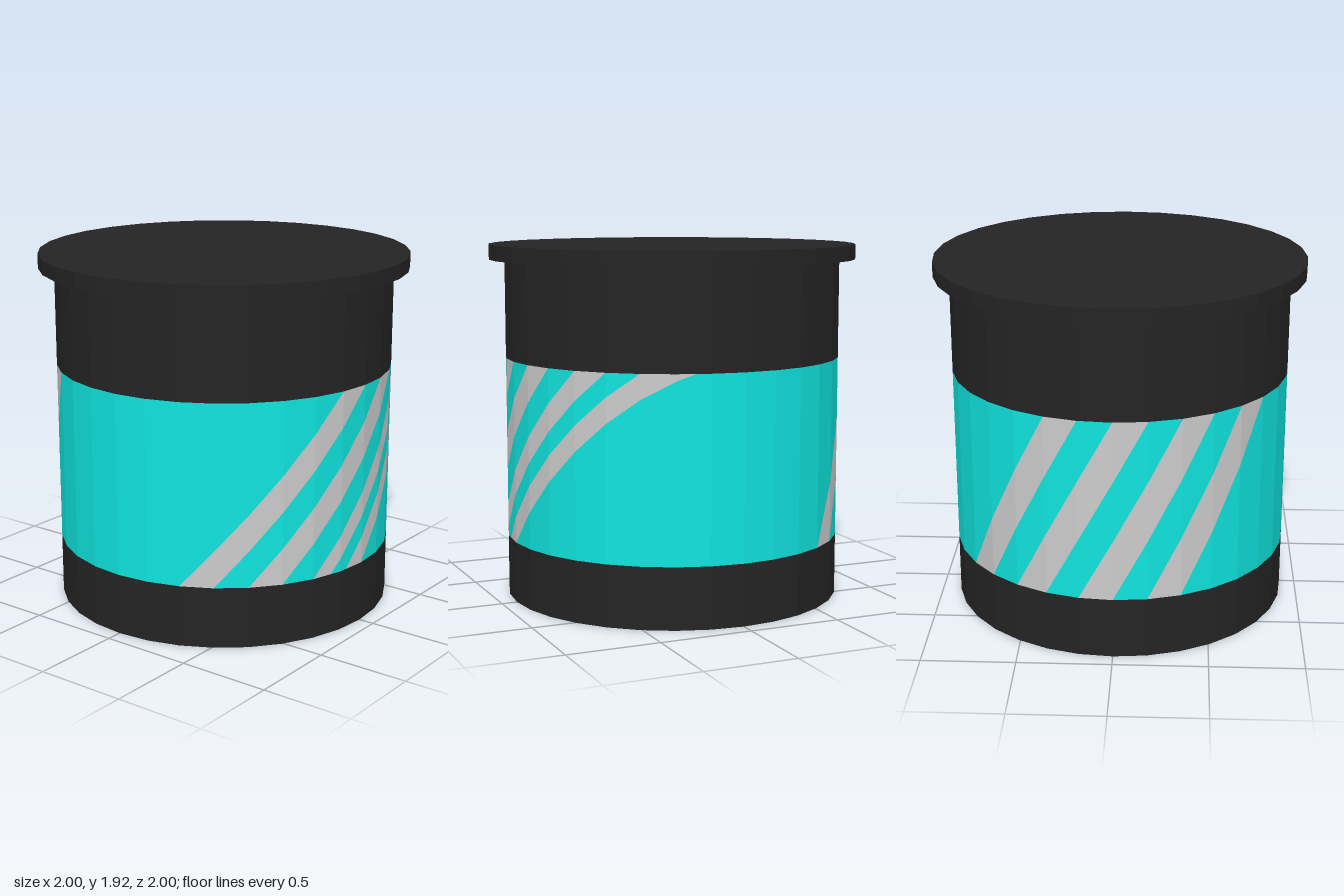
import * as THREE from 'three';

const SIDES = 32, STEP = 360 / SIDES, R = 0.915;
const LOW = 0.33, HIGH = 1.31, TOP = 1.84, LID_TOP = 1.92;
const rad = THREE.MathUtils.degToRad;

// Stripe edges, rightmost first: [angle at bottom, angle at top, straight in x]
const FRONT_EDGES = [
  [0, 74, true], [-8.2, 56.25, true],
  [-15.2, 45, true], [-22.5, 33.75, true],
  [-33.75, 22.5], [-45, 11.25],
  [-56.25, 0], [-67.5, -11.25],
];
const BACK_EDGES = [];
for (let k = 3; k >= 0; k--) {
  const a = 123.75 + 22.5 * k;
  BACK_EDGES.push([a + STEP, a + 4 * STEP], [a, a + 3 * STEP]);
}

// Point on the faceted wall at an angle measured from the front
function wallPoint(angle, y) {
  const mid = (Math.floor(angle / STEP) + 0.5) * STEP;
  const r = R * Math.cos(rad(STEP / 2)) / Math.cos(rad(angle - mid));
  return [r * Math.sin(rad(angle)), y, r * Math.cos(rad(angle))];
}

// Height of a stripe edge at an angle, held within the band
function edgeHeight([a, b, straight], angle) {
  const f = straight ? (v) => Math.sin(rad(v)) : (v) => v;
  const t = (f(angle) - f(a)) / (f(b) - f(a));
  return LOW + (HIGH - LOW) * THREE.MathUtils.clamp(t, 0, 1);
}

// Splits half of the band into label and stripe quads, column by column
function splitBand(from, edges, label, stripes) {
  const cuts = edges.flatMap(([a, b]) => [a, b]);
  for (let i = 0; i <= SIDES / 2; i++) cuts.push(from + i * STEP);
  cuts.sort((a, b) => a - b);
  const heights = (angle) => [LOW, ...edges.map((e) => edgeHeight(e, angle)), HIGH];
  for (let c = 0; c < cuts.length - 1; c++) {
    const [a, b] = [cuts[c], cuts[c + 1]];
    if (b - a < 1e-6) continue;
    const ya = heights(a), yb = heights(b);
    for (let k = 0; k < ya.length - 1; k++) {
      const out = k % 2 ? stripes : label;
      const p = wallPoint(a, ya[k]), q = wallPoint(b, yb[k]);
      const s = wallPoint(b, yb[k + 1]), t = wallPoint(a, ya[k + 1]);
      if (yb[k + 1] - yb[k] > 1e-6) out.push(...p, ...q, ...s);
      if (ya[k + 1] - ya[k] > 1e-6) out.push(...p, ...s, ...t);
    }
  }
}

export function createModel() {
  const group = new THREE.Group();
  const material = (color) => new THREE.MeshStandardMaterial({ color, flatShading: true });
  const black = material(0x242424), teal = material(0x10e4de), grey = material(0xcccccc);

  const add = (name, geometry, mat) => {
    const mesh = new THREE.Mesh(geometry, mat);
    mesh.name = name;
    group.add(mesh);
    return mesh;
  };
  const drum = (name, radius, y0, y1) => {
    add(name, new THREE.CylinderGeometry(radius, radius, y1 - y0, SIDES), black)
      .position.y = (y0 + y1) / 2;
  };

  // Dark body sections and the wider lid
  drum('base', R, 0, LOW);
  drum('upperBody', R, HIGH, TOP);
  drum('lid', 1, TOP, LID_TOP);

  // Coloured label with slanted stripes flush in the same wall
  const label = [], stripes = [];
  splitBand(-90, FRONT_EDGES, label, stripes);
  splitBand(90, BACK_EDGES, label, stripes);
  const surface = (points) => {
    const g = new THREE.BufferGeometry();
    g.setAttribute('position', new THREE.Float32BufferAttribute(points, 3));
    g.computeVertexNormals();
    return g;
  };
  add('labelBand', surface(label), teal);
  add('labelStripes', surface(stripes), grey);
  return group;
}
